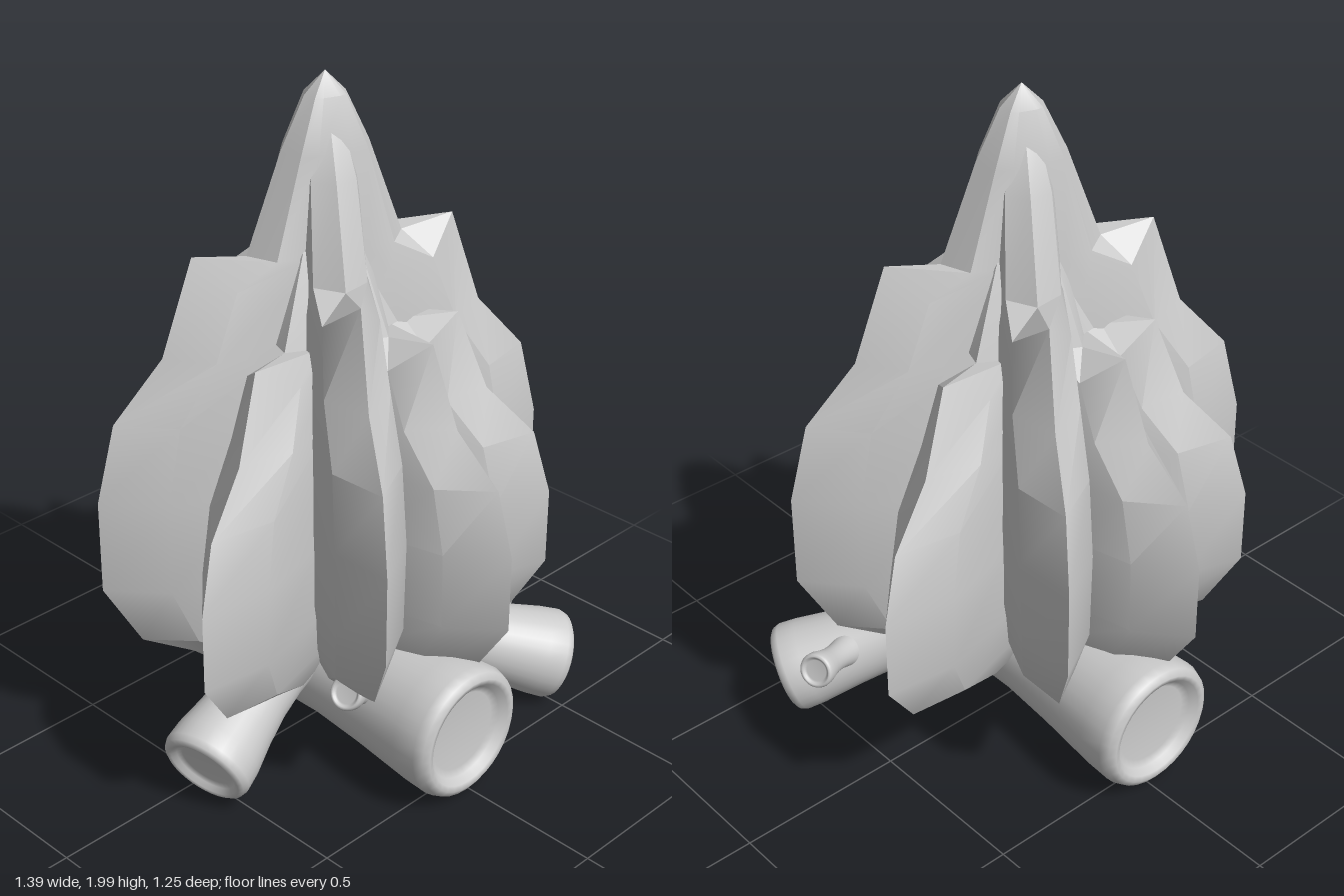
import * as THREE from 'three';
import { mergeVertices, toCreasedNormals } from 'three/addons/utils/BufferGeometryUtils.js';

const material = new THREE.MeshStandardMaterial({ color: 0xcccccc });

// Blade outline from bottom to tip: height above base, half width, half thickness, drop of the faces
const OUTLINE = [
  [0, 0.03, 0.01, 0], [0.05, 0.32, 0.055, 0], [0.17, 0.62, 0.09, 0], [0.33, 0.74, 0.115, 0],
  [0.56, 0.74, 0.12, 0], [0.75, 0.68, 0.115, 0], [0.89, 0.52, 0.11, 0], [1.12, 0.42, 0.095, 0.09],
  [1.1, 0.25, 0.09, 0], [1.33, 0.14, 0.075, 0], [1.45, 0.065, 0.045, 0], [1.5, 0, 0, 0],
];

// Horizontal section of a blade: fraction of half width, fraction of half thickness
const QUARTER = [[0.75, 0.82], [0.4, 1]];
const SECTION = [
  [1, 0], ...QUARTER, ...QUARTER.map(([u, v]) => [-u, v]).reverse(),
  [-1, 0], ...QUARTER.map(([u, v]) => [-u, -v]), ...QUARTER.map(([u, v]) => [u, -v]).reverse(),
];

function bladeGeometry(widthScale, heightScale) {
  const positions = [], index = [], n = SECTION.length;
  for (const [y, w, t, drop] of OUTLINE) {
    for (const [u, v] of SECTION) {
      positions.push(u * w * widthScale, (y - drop * Math.abs(v)) * heightScale, v * t);
    }
  }
  for (let i = 0; i < OUTLINE.length - 1; i++) {
    for (let j = 0; j < n; j++) {
      const a = i * n + j, b = i * n + (j + 1) % n;
      index.push(a, a + n, b, b, a + n, b + n);
    }
  }
  // Close the bottom
  for (let j = 1; j < n - 1; j++) index.push(0, j, j + 1);
  const geometry = new THREE.BufferGeometry();
  geometry.setAttribute('position', new THREE.Float32BufferAttribute(positions, 3));
  geometry.setIndex(index);
  return toCreasedNormals(mergeVertices(geometry), 0.5);
}

// Round log between two points, waisted in the middle, with rounded rims and hollowed ends
function addLog(parent, name, from, to, radius, waist = 0.8) {
  const start = new THREE.Vector3(...from), end = new THREE.Vector3(...to);
  const axis = end.clone().sub(start), h = axis.length() / 2, r = radius;
  const half = [
    [0, h - 0.18 * r], [0.6 * r, h - 0.18 * r], [0.7 * r, h - 0.12 * r], [0.78 * r, h - 0.02 * r],
    [0.86 * r, h], [0.95 * r, h - 0.06 * r], [r, h - 0.2 * r], [0.98 * r, h - 0.6 * r],
    [(0.35 + 0.65 * waist) * r, h * 0.45], [waist * r, h * 0.15],
  ];
  const profile = [...half.map(([x, y]) => [x, -y]), ...half.slice().reverse()];
  const geometry = new THREE.LatheGeometry(profile.map(([x, y]) => new THREE.Vector2(x, y)), 32);
  const log = new THREE.Mesh(geometry, material);
  log.name = name;
  log.position.copy(start).add(end).multiplyScalar(0.5);
  log.quaternion.setFromUnitVectors(new THREE.Vector3(0, 1, 0), axis.normalize());
  parent.add(log);
}

export function createModel() {
  const model = new THREE.Group();
  model.name = 'campfire';

  // Crossing flame blades: turn in degrees, width scale, height scale
  const flame = new THREE.Group();
  flame.name = 'flame';
  const blades = [
    [-20.5, 0.91, 1.2], [59.5, 0.87, 1.15], [20, 1, 1], [-46, 0.86, 1], [-82, 0.85, 1],
  ];
  blades.forEach(([turn, width, height], i) => {
    const blade = new THREE.Mesh(bladeGeometry(width, height), material);
    blade.name = `flameBlade${i + 1}`;
    blade.position.set(-0.01, 0.2, 0);
    blade.rotation.y = THREE.MathUtils.degToRad(turn);
    flame.add(blade);
  });
  model.add(flame);

  // Logs and their twig stubs
  const logs = new THREE.Group();
  logs.name = 'logs';
  addLog(logs, 'mainLog', [-0.02, 0.21, -0.58], [-0.02, 0.21, 0.59], 0.2);
  addLog(logs, 'leftLog', [0, 0.37, 0.03], [0.56, 0.125, 0.42], 0.135);
  addLog(logs, 'rightLog', [-0.02, 0.37, -0.03], [-0.59, 0.13, 0.1], 0.135);
  addLog(logs, 'leftTwig', [0.42, 0.23, 0.27], [0.62, 0.3, 0.18], 0.052, 0.75);
  addLog(logs, 'mainTwig', [-0.1, 0.26, 0.29], [-0.26, 0.345, 0.33], 0.05, 0.75);
  model.add(logs);

  return model;
}
